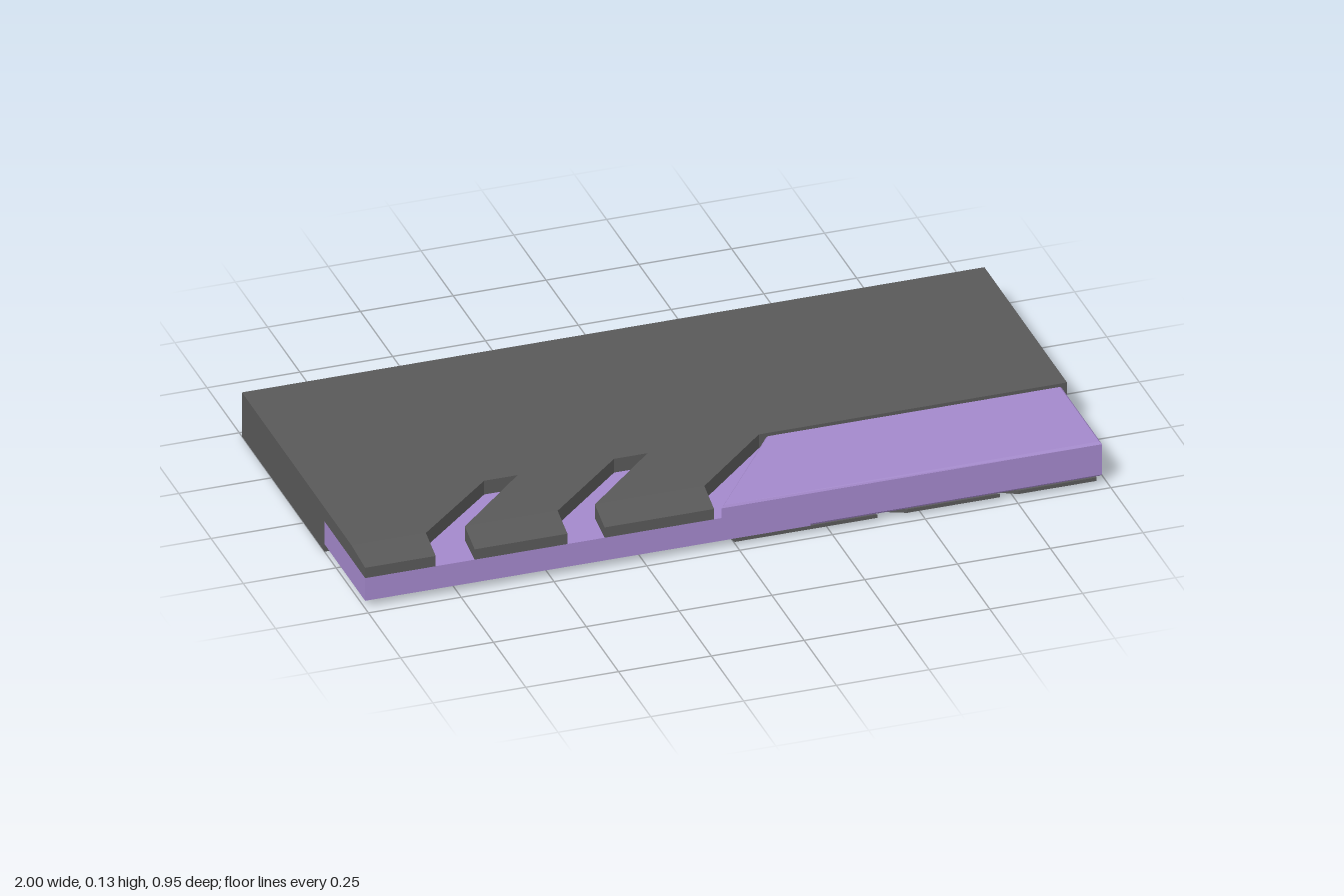
import * as THREE from 'three';

const dark = new THREE.MeshStandardMaterial({ color: 0x595959, flatShading: true, side: THREE.DoubleSide });
const purple = new THREE.MeshStandardMaterial({ color: 0xa388cb, flatShading: true, side: THREE.DoubleSide });

const BACK = -0.48, MID = 0.16, BEND = 0.37, FRONT = 0.475;
const HEIGHT = 0.128, FLOOR = 0.022, LEDGE = 0.088;

// Closed solid through rectangular sections [z, xMin, xMax, yMin, yMax], back to front
function loft(sections) {
  const rings = sections.map(([z, a, b, c, d]) => [[a, c, z], [b, c, z], [b, d, z], [a, d, z]]);
  const pos = [];
  const quad = (p, q, r, s) => pos.push(...p, ...q, ...r, ...p, ...r, ...s);
  for (let i = 0; i < rings.length - 1; i++) {
    for (let k = 0; k < 4; k++) {
      const n = (k + 1) % 4;
      quad(rings[i][k], rings[i][n], rings[i + 1][n], rings[i + 1][k]);
    }
  }
  const [first, last] = [rings[0], rings[rings.length - 1]];
  quad(first[3], first[2], first[1], first[0]);
  quad(...last);
  const geo = new THREE.BufferGeometry();
  geo.setAttribute('position', new THREE.Float32BufferAttribute(pos, 3));
  geo.computeVertexNormals();
  return geo;
}

export function createModel() {
  const group = new THREE.Group();
  const add = (name, geo, mat) => {
    const mesh = new THREE.Mesh(geo, mat);
    mesh.name = name;
    group.add(mesh);
    return mesh;
  };

  // Sleeve: a box with its back left open
  const sleeve = new THREE.BoxGeometry(2, HEIGHT, MID - BACK);
  sleeve.setIndex(Array.from(sleeve.index.array).slice(0, 30));
  sleeve.clearGroups();
  sleeve.translate(0, HEIGHT / 2, (MID + BACK) / 2);
  add('sleeve', sleeve, dark);

  // Low half of the core, under the upper fingers
  const low = new THREE.BoxGeometry(1.2, LEDGE - FLOOR, FRONT - MID);
  low.translate(-0.4, (LEDGE + FLOOR) / 2, (FRONT + MID) / 2);
  add('coreLedge', low, purple);

  // Full-height half of the core, with a slanted end and chamfered rims
  const bevel = 0.006;
  const outline = new THREE.Shape([[-0.04, -FRONT], [0.985, -FRONT], [0.985, -MID], [0.19, -MID]]
    .map(([x, y]) => new THREE.Vector2(x, y)));
  const block = new THREE.ExtrudeGeometry(outline, {
    depth: 0.122 - FLOOR - 2 * bevel, bevelThickness: bevel, bevelSize: bevel, bevelOffset: -bevel, bevelSegments: 1,
  });
  block.rotateX(-Math.PI / 2);
  block.translate(0, FLOOR + bevel, 0);
  add('coreBlock', block, purple);

  // Upper fingers: x ranges at the sleeve, at the bend and at the tip
  const upper = [
    [[-1, -0.57], [-1, -0.8], [-1, -0.81]],
    [[-0.48, -0.22], [-0.695, -0.445], [-0.705, -0.455]],
    [[-0.13, 0.17], [-0.345, -0.05], [-0.355, -0.06]],
  ];
  // Lower fingers: joined up to the bend, split by short wedges in front
  const lower = [
    [[-0.015, 0.27], [-0.015, 0.27], [-0.005, 0.38]],
    [[0.27, 0.6], [0.27, 0.6], [0.46, 0.71]],
    [[0.6, 0.985], [0.6, 0.985], [0.76, 0.97]],
  ];
  const depths = [MID, BEND, FRONT];
  const tops = [HEIGHT, HEIGHT, 0.118], bottoms = [0, 0, 0.012];
  upper.forEach((rows, i) => add('upperFinger' + (i + 1),
    loft(rows.map(([a, b], k) => [depths[k], a, b, LEDGE, tops[k]])), dark));
  lower.forEach((rows, i) => add('lowerFinger' + (i + 1),
    loft(rows.map(([a, b], k) => [depths[k], a, b, bottoms[k], FLOOR])), dark));

  return group;
}
